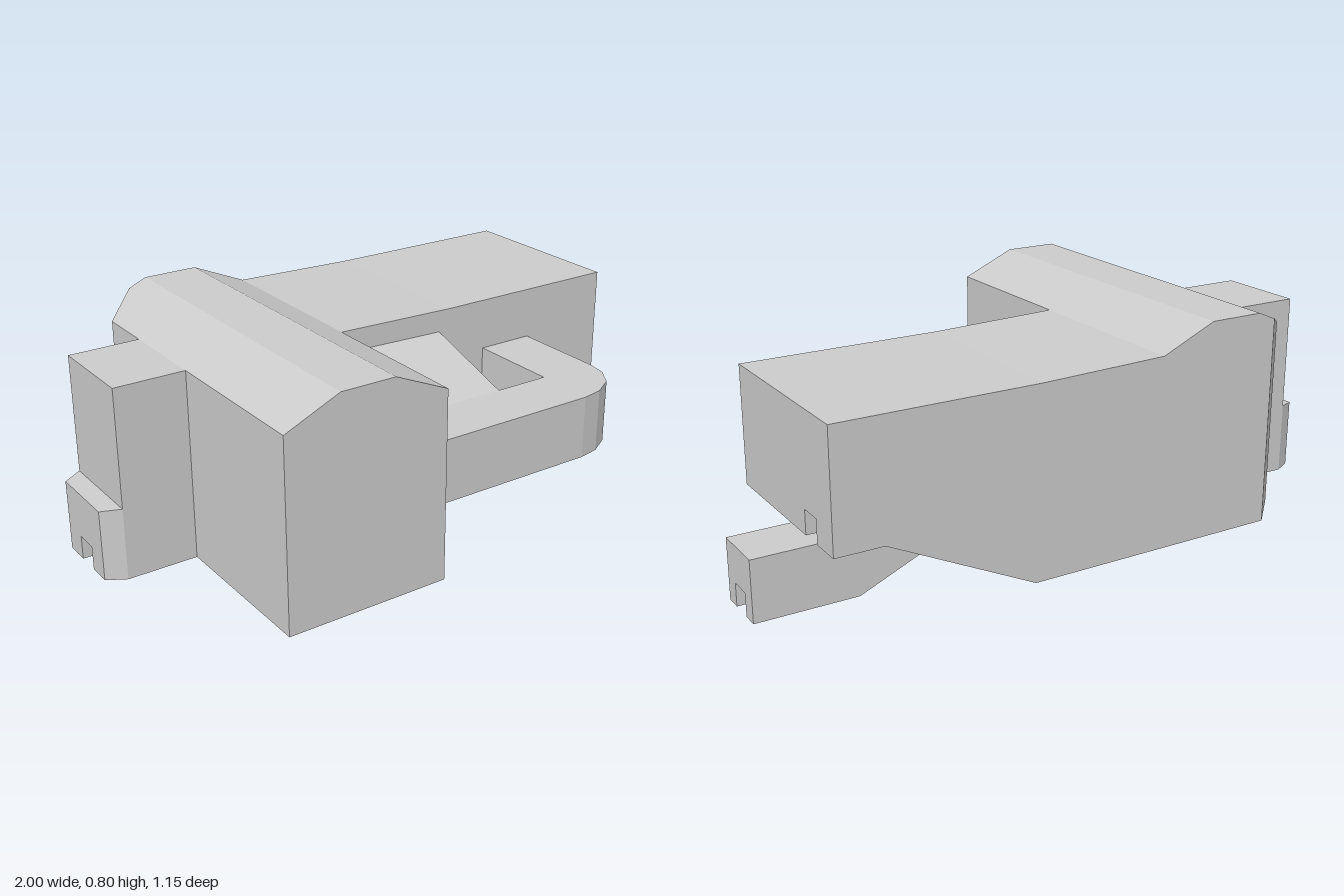
import * as THREE from 'three';

const material = new THREE.MeshStandardMaterial({ color: 0xcccccc, flatShading: true });

function extrude(points, depth) {
  const shape = new THREE.Shape(points.map(([a, b]) => new THREE.Vector2(a, b)));
  return new THREE.ExtrudeGeometry(shape, { depth, bevelEnabled: false });
}

// Side profile in x,y swept between two z values
const alongZ = (points, z0, z1) => extrude(points, z1 - z0).translate(0, 0, z0);

// Plan outline in x,z swept between two heights
const alongY = (points, y0, y1) =>
  extrude(points.map(([x, z]) => [x, -z]), y1 - y0).rotateX(-Math.PI / 2).translate(0, y0, 0);

// Cross-section in z,y swept between two x values
const alongX = (points, x0, x1) =>
  extrude(points.map(([z, y]) => [-z, y]), x1 - x0).rotateY(Math.PI / 2).translate(x0, 0, 0);

// Rectangle in z,y with a small square notch cut into its lower edge
function notched(z0, z1, y0, y1, n0, n1, height) {
  return [[z0, y0], [n0, y0], [n0, y0 + height], [n1, y0 + height],
    [n1, y0], [z1, y0], [z1, y1], [z0, y1]];
}

// Move every vertex by a rule
function reshape(geometry, rule) {
  const p = geometry.attributes.position;
  const v = new THREE.Vector3();
  for (let i = 0; i < p.count; i++) {
    rule(v.fromBufferAttribute(p, i));
    p.setXYZ(i, v.x, v.y, v.z);
  }
  geometry.computeVertexNormals();
  return geometry;
}

export function createModel() {
  const model = new THREE.Group();
  model.name = 'model';
  const add = (name, geometry) => {
    const mesh = new THREE.Mesh(geometry, material);
    mesh.name = name;
    model.add(mesh);
  };

  // Cross block with a raised roof; its rear corner is cut off
  const roof = [[-0.71, 0.1], [-0.17, 0.1], [-0.17, 0.718], [-0.35, 0.797], [-0.53, 0.797], [-0.71, 0.718]];
  add('crossBlock', alongZ(roof, -0.46, 0.575));
  add('crossBlockRear', reshape(alongZ(roof, -0.578, -0.46), (v) => {
    if (v.z < -0.57 && v.x < -0.7) {
      v.x = -0.59;
      if (v.y > 0.5) v.y = 0.771;
    }
  }));

  // Long body: solid sloped rear half, recessed front half behind a thin cheek
  const top = [[0.84, 0.708], [0.25, 0.708], [-0.17, 0.718]];
  const sloped = [[-0.17, 0.1], [0.27, 0.1], [0.75, 0.333], [0.84, 0.333], ...top];
  const recessed = [[-0.17, 0.1], [0.27, 0.1], [0.27, 0.333], [0.84, 0.333], ...top];
  add('bodyRear', alongZ(sloped, -0.578, -0.27));
  add('bodyFront', alongZ(recessed, -0.27, 0.035));
  add('bodyCheek', alongZ([[0.27, 0.1], [0.75, 0.333], [0.27, 0.333]], 0.03, 0.035));
  add('bodyEnd', alongX(notched(-0.578, 0.035, 0.333, 0.708, -0.475, -0.4, 0.077), 0.84, 0.903));

  // Cranked bar leaving the recess
  add('bar', alongZ([[0.27, 0.1], [0.43, 0.1], [0.66, 0.002], [0.94, 0.002],
    [0.94, 0.205], [0.66, 0.205], [0.45, 0.303], [0.27, 0.303]], -0.208, -0.024));
  add('barEnd', alongX(notched(-0.208, -0.024, 0.002, 0.205, -0.155, -0.078, 0.077), 0.94, 1));

  // Hooked loop with a rounded outer corner
  add('hook', alongY([[-0.17, 0.345], [0.395, 0.345], [0.395, 0.03], [0.59, 0.03], [0.59, 0.35],
    [0.578, 0.42], [0.535, 0.485], [0.465, 0.527], [0.395, 0.54], [-0.17, 0.54]], 0.333, 0.538));

  // Ramp between the hook and the body
  add('ramp', reshape(alongX([[0.03, 0.333], [0.345, 0.333], [0.345, 0.538], [0.03, 0.648]], -0.17, 0.21),
    (v) => { if (v.y > 0.6 && v.x > 0) v.y = 0.638; }));

  // Side block and its tapered tip
  add('sideBlock', new THREE.BoxGeometry(0.23, 0.618, 0.305).translate(-0.825, 0.409, -0.1175));
  add('sideTip', reshape(alongX(notched(-0.27, 0.035, 0.1, 0.336, -0.155, -0.078, 0.077), -1, -0.94), (v) => {
    if (v.x < -0.99) {
      if (v.z > 0) v.z = 0;
      if (v.z < -0.25) v.z = -0.238;
      if (v.y > 0.3) v.y = 0.33;
    }
  }));

  return model;
}
